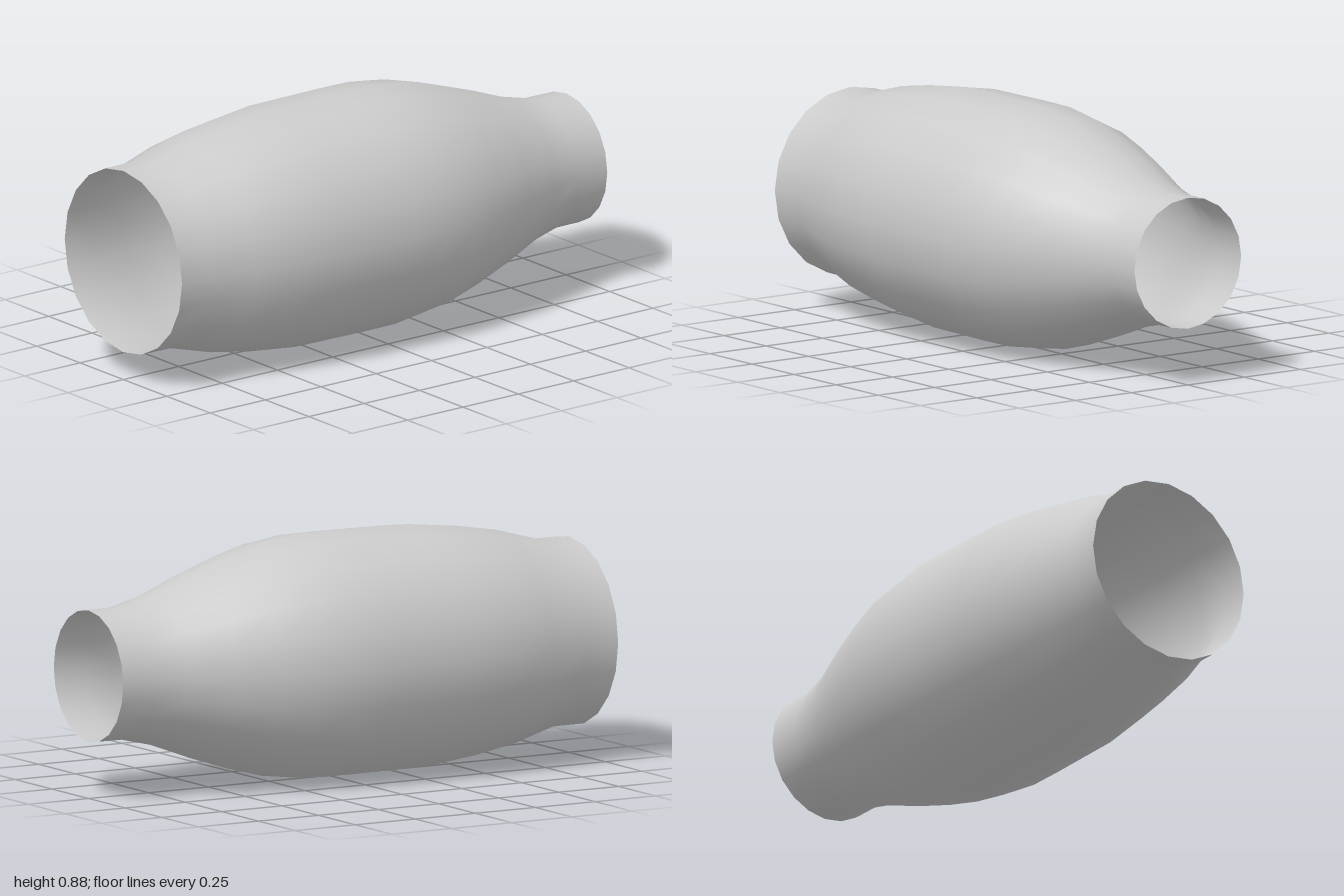
import * as THREE from 'three';

export function createModel() {
  const group = new THREE.Group();
  group.name = 'taperedSleeve';

  // Open sleeve: [position along x, radius], from the wide collar to the narrow neck
  const profile = [
    [-1, 0.338], [-0.87, 0.339], [-0.7, 0.386], [-0.53, 0.415], [-0.33, 0.437],
    [-0.02, 0.44], [0.12, 0.439], [0.28, 0.418], [0.42, 0.381], [0.58, 0.329],
    [0.74, 0.269], [0.87, 0.238], [1, 0.237],
  ].map(([x, r]) => new THREE.Vector2(r, x));

  const geometry = new THREE.LatheGeometry(profile, 20);
  geometry.rotateZ(-Math.PI / 2);

  const shell = new THREE.Mesh(
    geometry,
    new THREE.MeshStandardMaterial({ color: 0xcccccc, side: THREE.DoubleSide })
  );
  shell.name = 'sleeveShell';
  shell.position.y = 0.44;
  group.add(shell);

  return group;
}
